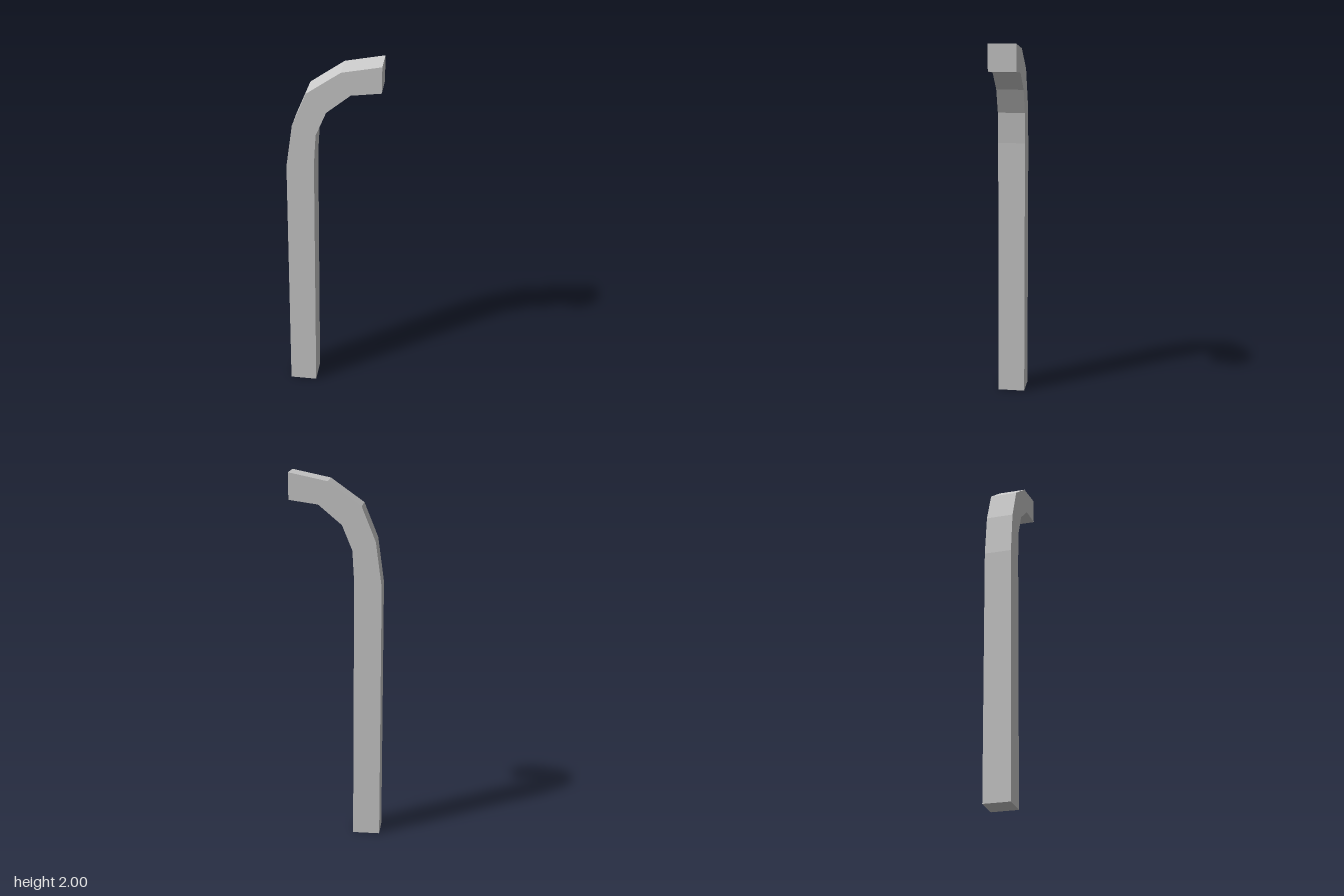
import * as THREE from 'three';

// Square post that bends over toward +x, cut as a faceted side profile
export function createModel() {
  const group = new THREE.Group();
  group.name = 'bentPost';
  const depth = 0.147;

  // Outer edge from the foot to the tip, then the inner edge back down
  const outer = [[-0.246, 0], [-0.246, 1.405], [-0.213, 1.645], [-0.138, 1.83], [0.04, 1.957], [0.246, 2]];
  const inner = [[-0.1, 0], [-0.1, 1.43], [-0.09, 1.597], [-0.035, 1.73], [0.09, 1.835], [0.246, 1.857]];
  const profile = [...outer, ...inner.reverse()].map(([x, y]) => new THREE.Vector2(x, y));

  const geometry = new THREE.ExtrudeGeometry(new THREE.Shape(profile), { depth, bevelEnabled: false });
  geometry.translate(0, 0, -depth / 2);

  const post = new THREE.Mesh(geometry, new THREE.MeshStandardMaterial({ color: 0xcccccc, flatShading: true }));
  post.name = 'post';
  group.add(post);
  return group;
}
